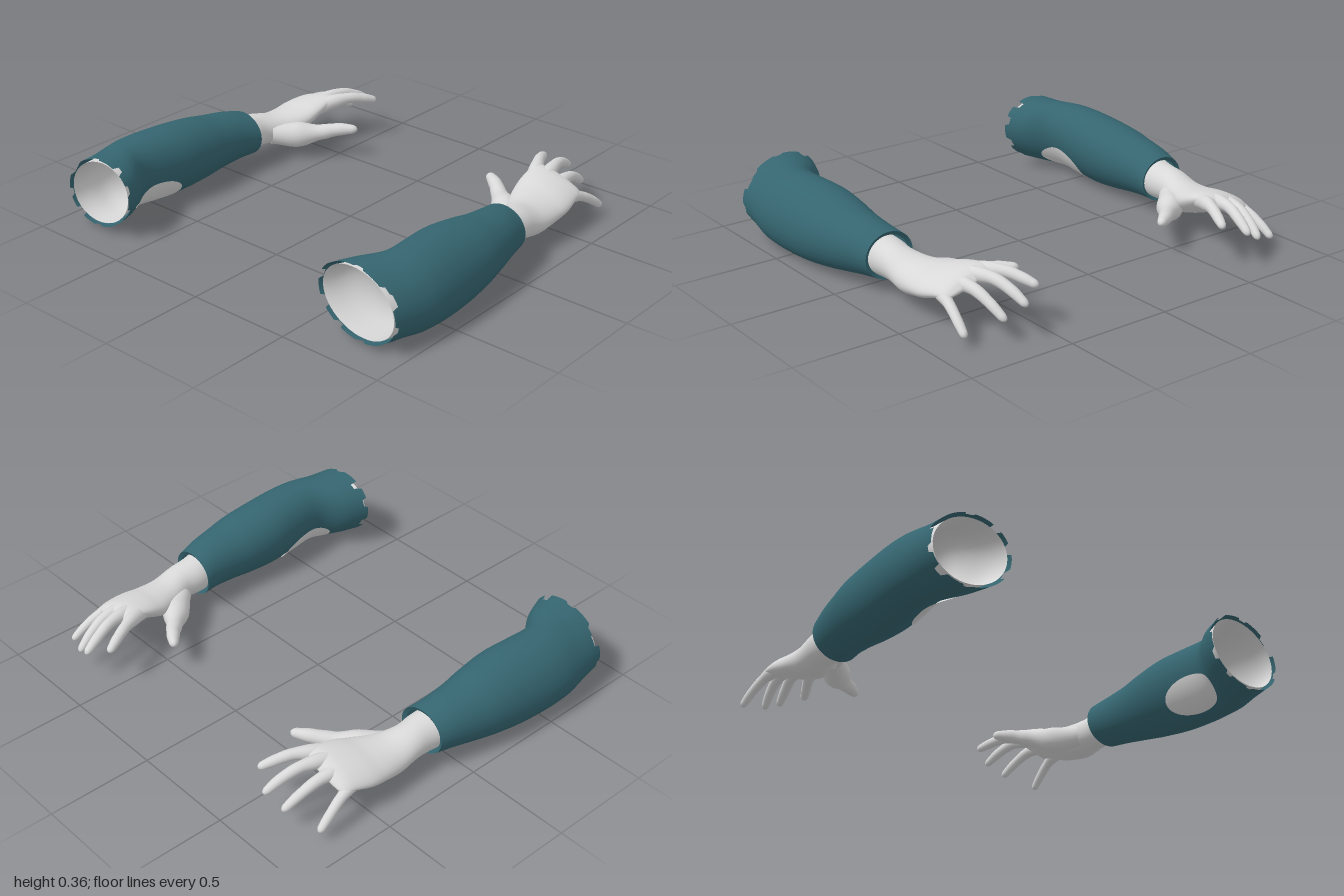
import * as THREE from 'three';

const rad = THREE.MathUtils.degToRad;

// Cross-sections: [z, centreX, centreY, radiusX, radiusY, skewX, skewY]
const SLEEVE = [
  [-0.11, 0.785, 0.168, 0.12, 0.108, 0, 0],
  [-0.02, 0.802, 0.175, 0.125, 0.123, 0, 0],
  [0.1, 0.815, 0.176, 0.14, 0.14, -0.005, 0],
  [0.2, 0.82, 0.178, 0.155, 0.157, -0.01, 0],
  [0.35, 0.825, 0.18, 0.165, 0.174, -0.02, 0],
  [0.5, 0.838, 0.184, 0.161, 0.176, -0.025, 0],
  [0.6, 0.842, 0.187, 0.156, 0.172, -0.028, 0],
  [0.66, 0.832, 0.187, 0.16, 0.17, -0.03, 0],
  [0.75, 0.793, 0.189, 0.185, 0.167, -0.03, 0],
  [0.85, 0.765, 0.193, 0.198, 0.168, -0.03, 0],
];
const HAND = [
  [-0.64, 0.735, 0.2, 0.001, 0.001, 0, 0],
  [-0.63, 0.735, 0.2, 0.095, 0.014, 0, -0.03],
  [-0.605, 0.737, 0.203, 0.12, 0.031, 0, -0.035],
  [-0.56, 0.74, 0.198, 0.128, 0.044, 0, -0.035],
  [-0.48, 0.747, 0.177, 0.135, 0.058, 0, -0.03],
  [-0.4, 0.752, 0.155, 0.127, 0.066, 0, -0.02],
  [-0.3, 0.768, 0.14, 0.106, 0.076, 0, -0.01],
  [-0.2, 0.785, 0.155, 0.086, 0.08, 0, 0],
  [-0.12, 0.785, 0.16, 0.088, 0.088, 0, 0],
  [0, 0.8, 0.168, 0.098, 0.1, 0, 0],
];
// The bare forearm continues just inside the sleeve
const ARM = HAND.concat(SLEEVE.filter(s => s[0] >= 0.2).map(
  ([z, cx, cy, rx, ry, kx, ky]) => [Math.min(z, 0.84), cx, cy, rx - 0.015, ry - 0.015, kx, ky]));

// Digits: [x, y, z, radius] from root to tip
const DIGITS = {
  thumb: [[0.72, 0.135, -0.24, 0.05], [0.635, 0.125, -0.335, 0.063], [0.545, 0.137, -0.415, 0.038],
    [0.485, 0.15, -0.468, 0.032], [0.405, 0.155, -0.525, 0.021]],
  indexFinger: [[0.675, 0.195, -0.46, 0.036], [0.625, 0.222, -0.585, 0.035], [0.582, 0.23, -0.67, 0.026],
    [0.552, 0.217, -0.735, 0.024], [0.52, 0.195, -0.805, 0.018]],
  middleFinger: [[0.71, 0.195, -0.45, 0.036], [0.683, 0.222, -0.6, 0.034], [0.66, 0.226, -0.7, 0.026],
    [0.64, 0.2, -0.78, 0.024], [0.622, 0.155, -0.865, 0.018]],
  ringFinger: [[0.765, 0.185, -0.45, 0.034], [0.752, 0.198, -0.59, 0.033], [0.743, 0.192, -0.68, 0.026],
    [0.73, 0.158, -0.76, 0.023], [0.712, 0.105, -0.84, 0.018]],
  littleFinger: [[0.81, 0.155, -0.45, 0.034], [0.833, 0.161, -0.57, 0.03], [0.845, 0.14, -0.64, 0.023],
    [0.857, 0.1, -0.71, 0.021], [0.866, 0.052, -0.775, 0.017]],
};

// Torn upper hem of the sleeve: [start angle, end angle, depth]
const TEARS = [[14, 30, 0.03], [32, 44, 0.02], [75, 84, 0.012], [116, 126, 0.035], [150, 162, 0.02],
  [192, 205, 0.025], [228, 236, 0.018], [262, 272, 0.012], [300, 312, 0.03], [335, 345, 0.02]];

// Smooth cubic interpolation of the sections at height z
function sectionAt(list, z) {
  const n = list.length;
  let i = 0;
  while (i < n - 2 && z > list[i + 1][0]) i++;
  const a = list[i], b = list[i + 1], h = b[0] - a[0], t = (z - a[0]) / h;
  const slope = (k, c) => {
    const p = list[Math.max(k - 1, 0)], q = list[Math.min(k + 1, n - 1)];
    return (q[c] - p[c]) / (q[0] - p[0]);
  };
  return a.map((v, c) => c === 0 ? z :
    v * (2 * t ** 3 - 3 * t * t + 1) + b[c] * (3 * t * t - 2 * t ** 3) +
    h * (slope(i, c) * (t ** 3 - 2 * t * t + t) + slope(i + 1, c) * (t ** 3 - t * t)));
}

function pointOn(list, z, angle, grow = 0) {
  const [, cx, cy, rx, ry, kx, ky] = sectionAt(list, z);
  const c = Math.cos(angle), s = Math.sin(angle);
  return [cx + (rx + grow) * c + kx * s, cy + (ry + grow) * s + ky * c, z];
}

// Maps 0..1 to z with equal rows between neighbouring sections
function zAlong(list, u) {
  const t = u * (list.length - 1), i = Math.min(Math.floor(t), list.length - 2);
  return THREE.MathUtils.lerp(list[i][0], list[i + 1][0], t - i);
}

// Closed rings of points joined into a skin; side -1 mirrors it
function rings(fn, rows, segs, side) {
  const pos = [], index = [];
  for (let i = 0; i <= rows; i++) {
    for (let j = 0; j < segs; j++) {
      const [x, y, z] = fn(i / rows, (j / segs) * Math.PI * 2);
      pos.push(x * side, y, z);
      if (i === rows) continue;
      const k = (j + 1) % segs;
      const a = i * segs + j, b = i * segs + k, c = a + segs, d = b + segs;
      if (side > 0) index.push(a, b, c, b, d, c);
      else index.push(a, c, b, b, c, d);
    }
  }
  const geo = new THREE.BufferGeometry();
  geo.setAttribute('position', new THREE.Float32BufferAttribute(pos, 3));
  geo.setIndex(index);
  geo.computeVertexNormals();
  return geo;
}

// Tapered digit with a rounded tip
function digit(points, side) {
  const path = new THREE.CatmullRomCurve3(points.map(p => new THREE.Vector3(p[0], p[1], p[2])));
  const up = new THREE.Vector3(0, 1, 0);
  return rings((u, angle) => {
    const t = 1 - (1 - u) ** 1.6;
    const p = path.getPoint(t), tangent = path.getTangent(t);
    const across = up.clone().cross(tangent).normalize();
    const over = tangent.clone().cross(across);
    const f = t * (points.length - 1), i = Math.min(Math.floor(f), points.length - 2);
    const k = THREE.MathUtils.smoothstep(f - i, 0, 1);
    let r = THREE.MathUtils.lerp(points[i][3], points[i + 1][3], k);
    if (t > 0.93) r *= Math.sqrt(Math.max(0, 1 - ((t - 0.93) / 0.07) ** 2));
    return p.addScaledVector(across, r * Math.cos(angle))
      .addScaledVector(over, r * Math.sin(angle)).toArray();
  }, 36, 20, side);
}

function sleevePoint(u, angle) {
  const deg = angle * 180 / Math.PI;
  const tear = TEARS.find(([a, b]) => deg >= a && deg <= b);
  return pointOn(SLEEVE, Math.min(zAlong(SLEEVE, u), 0.85 - (tear ? tear[2] : 0)), angle);
}

// Turned-in edge at the wrist
function cuffPoint(u, angle) {
  const [x, y] = pointOn(SLEEVE, -0.11, angle, (u - 1) * 0.018);
  return [x, y, -0.1 - 0.01 * u];
}

// Oval of bare skin on the inner underside of the elbow
function patchPoint(u, angle) {
  const z = 0.55 + 0.15 * u * Math.cos(angle);
  return pointOn(SLEEVE, z, rad(218) + rad(30) * u * Math.sin(angle), 0.005);
}

export function createModel() {
  const skin = new THREE.MeshStandardMaterial({ color: 0xd8d8d8, side: THREE.DoubleSide });
  skin.name = 'pale skin';
  const cloth = new THREE.MeshStandardMaterial({ color: 0x356570, side: THREE.DoubleSide });
  cloth.name = 'teal cloth';

  const model = new THREE.Group();
  model.name = 'armsWithSleeves';
  for (const [name, side] of [['leftArm', 1], ['rightArm', -1]]) {
    const arm = new THREE.Group();
    arm.name = name;
    const add = (part, geo, mat) => {
      const mesh = new THREE.Mesh(geo, mat);
      mesh.name = part;
      arm.add(mesh);
    };
    add('palmAndForearm', rings((u, a) => pointOn(ARM, zAlong(ARM, u), a), (ARM.length - 1) * 6, 48, side), skin);
    for (const [part, points] of Object.entries(DIGITS)) add(part, digit(points, side), skin);
    add('sleeve', rings(sleevePoint, (SLEEVE.length - 1) * 8, 120, side), cloth);
    add('cuffEdge', rings(cuffPoint, 2, 120, side), cloth);
    add('elbowPatch', rings(patchPoint, 10, 40, side), skin);
    model.add(arm);
  }
  return model;
}
